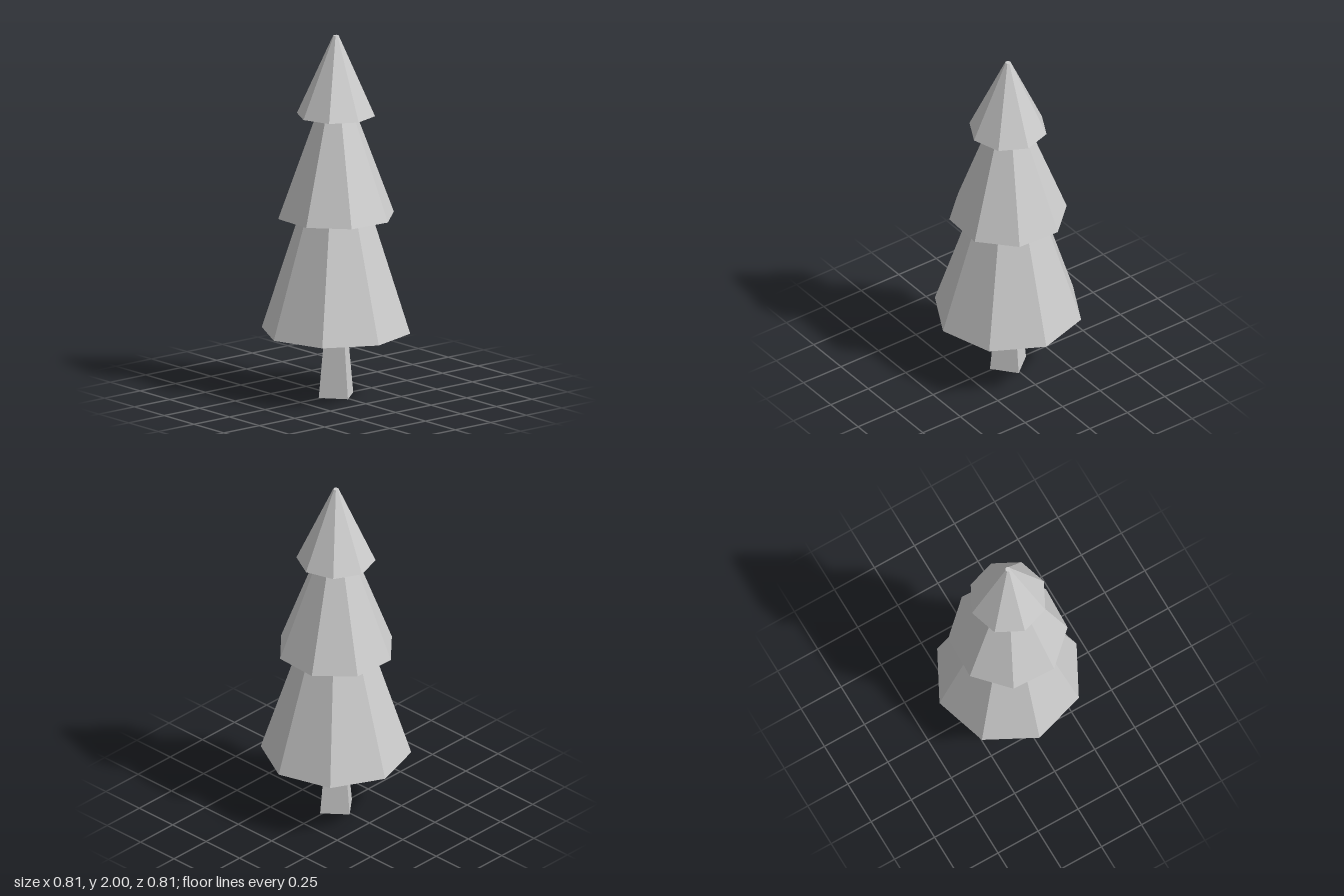
import * as THREE from 'three';

const material = new THREE.MeshStandardMaterial({ color: 0xcccccc, flatShading: true });

// Tapered prism standing between two heights, turned about the y axis
function taper(name, sides, bottomRadius, topRadius, bottomY, topY, turnDegrees) {
  const height = topY - bottomY;
  const geometry = new THREE.CylinderGeometry(topRadius, bottomRadius, height, sides);
  geometry.rotateY(THREE.MathUtils.degToRad(turnDegrees));
  geometry.translate(0, bottomY + height / 2, 0);
  const mesh = new THREE.Mesh(geometry, material);
  mesh.name = name;
  return mesh;
}

export function createModel() {
  const tree = new THREE.Group();
  tree.name = 'tree';

  // Four-sided trunk
  tree.add(taper('trunk', 4, 0.113, 0.074, 0, 0.37, -5.5));

  // Eight-sided foliage tiers, each tucked slightly into the one above
  tree.add(taper('lowerFoliage', 8, 0.407, 0.198, 0.36, 1.01, -5.5));
  tree.add(taper('middleFoliage', 8, 0.323, 0.109, 1, 1.57, 20.1));
  tree.add(taper('upperFoliage', 8, 0.214, 0.015, 1.56, 2, -5.1));

  return tree;
}
